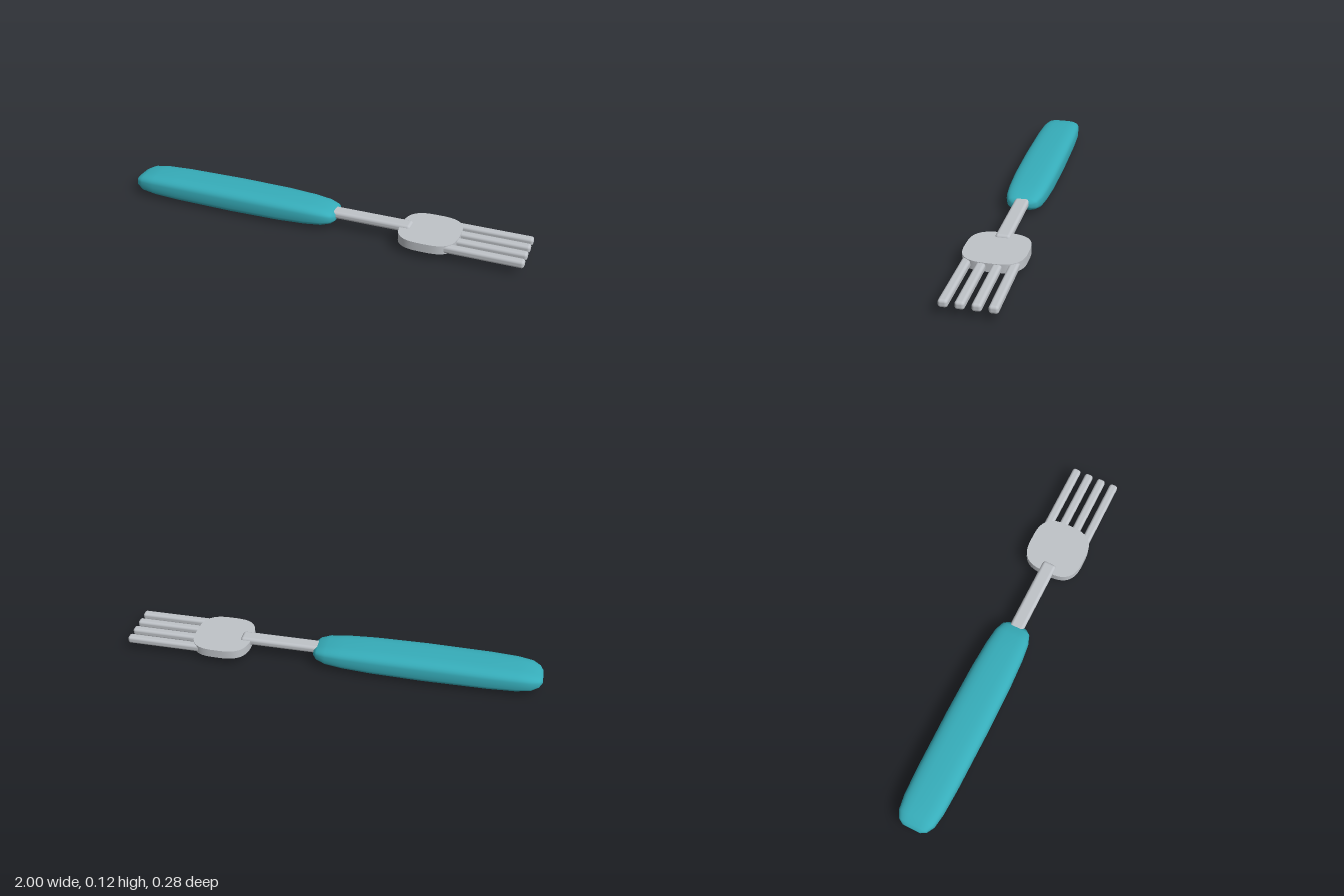
import * as THREE from 'three';
import { toCreasedNormals } from 'three/addons/utils/BufferGeometryUtils.js';
import { RoundedBoxGeometry } from 'three/addons/geometries/RoundedBoxGeometry.js';

const teal = new THREE.MeshStandardMaterial({ name: 'teal grip', color: 0x36adba });
const steel = new THREE.MeshStandardMaterial({ name: 'light steel', color: 0xbfc3c8 });

// Point on a squarish oval with half sizes a and b
function oval(t, a, b, n) {
  const p = (v) => Math.sign(v) * Math.abs(v) ** (2 / n);
  return [a * p(Math.cos(t)), b * p(Math.sin(t))];
}

// Joins oval sections [x, half depth, half height] along x into a closed smooth skin
function loft(sections, centreY, sides, n) {
  const pos = [], idx = [];
  for (const [x, a, b] of sections) {
    for (let i = 0; i < sides; i++) {
      const [z, y] = oval((i / sides) * Math.PI * 2, a, b, n);
      pos.push(x, centreY + y, z);
    }
  }
  for (let s = 0; s < sections.length - 1; s++) {
    for (let i = 0; i < sides; i++) {
      const j = (i + 1) % sides;
      const a = s * sides + i, b = s * sides + j, c = a + sides, d = b + sides;
      idx.push(a, c, b, b, c, d);
    }
  }
  // End caps
  const first = pos.length / 3, last = first + 1, end = (sections.length - 1) * sides;
  pos.push(sections[0][0], centreY, 0, sections.at(-1)[0], centreY, 0);
  for (let i = 0; i < sides; i++) {
    const j = (i + 1) % sides;
    idx.push(first, i, j, last, end + j, end + i);
  }
  const geo = new THREE.BufferGeometry();
  geo.setAttribute('position', new THREE.Float32BufferAttribute(pos, 3));
  geo.setIndex(idx);
  // Outward faces: positive signed volume
  const v = (k) => new THREE.Vector3().fromArray(pos, k * 3);
  let volume = 0;
  for (let i = 0; i < idx.length; i += 3) {
    volume += v(idx[i]).dot(v(idx[i + 1]).cross(v(idx[i + 2])));
  }
  if (volume < 0) geo.setIndex(idx.reverse());
  geo.computeVertexNormals();
  return geo;
}

export function createModel() {
  const group = new THREE.Group();
  const add = (name, geo, mat, x = 0, y = 0, z = 0) => {
    const mesh = new THREE.Mesh(geo, mat);
    mesh.name = name;
    mesh.position.set(x, y, z);
    group.add(mesh);
  };

  // Plump handle, fullest in the middle
  add('handle', loft([
    [-1, 0.045, 0.012], [-0.985, 0.07, 0.027], [-0.95, 0.09, 0.043], [-0.88, 0.1, 0.052],
    [-0.75, 0.105, 0.057], [-0.45, 0.107, 0.06], [-0.2, 0.104, 0.057], [-0.06, 0.097, 0.051],
    [0.02, 0.088, 0.043], [0.065, 0.072, 0.03], [0.083, 0.05, 0.017],
  ], 0.062, 32, 3.2), teal);

  // Neck
  add('neck', new RoundedBoxGeometry(0.45, 0.037, 0.07, 3, 0.015), steel, 0.225, 0.0705, 0);

  // Flat head plate
  const outline = [];
  for (let i = 0; i < 64; i++) {
    outline.push(new THREE.Vector2(...oval((i / 64) * Math.PI * 2, 0.141, 0.142, 3)));
  }
  const head = new THREE.ExtrudeGeometry(new THREE.Shape(outline), { depth: 0.042, bevelEnabled: false });
  head.rotateX(-Math.PI / 2);
  add('head', toCreasedNormals(head, 0.7), steel, 0.54, 0.036, 0);

  // Four tines
  for (let i = 0; i < 4; i++) {
    add('tine', new RoundedBoxGeometry(0.38, 0.036, 0.042, 3, 0.013), steel,
      0.808, 0.057, (i - 1.5) * 0.069);
  }
  return group;
}
